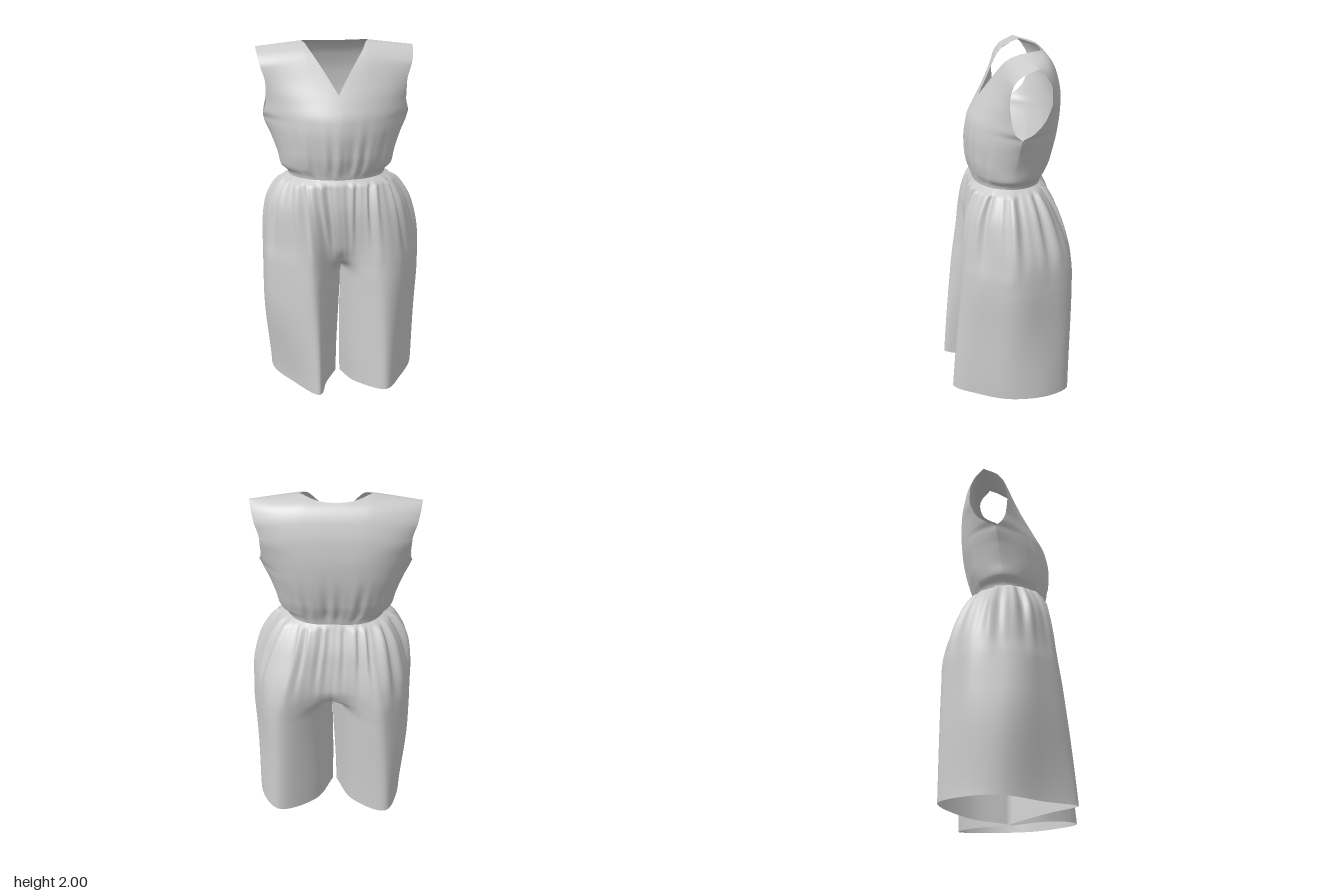
import * as THREE from 'three';
import { mergeGeometries, mergeVertices } from 'three/addons/utils/BufferGeometryUtils.js';

const { clamp, lerp, smoothstep } = THREE.MathUtils;

// Smooth monotone interpolation through [position, value] keys
function track(keys) {
  const n = keys.length;
  const slope = i => (keys[i + 1][1] - keys[i][1]) / (keys[i + 1][0] - keys[i][0]);
  const tangent = keys.map((_, i) => {
    if (i === 0) return slope(0);
    if (i === n - 1) return slope(n - 2);
    const a = slope(i - 1), b = slope(i);
    return a * b <= 0 ? 0 : (2 * a * b) / (a + b);
  });
  return x => {
    x = clamp(x, keys[0][0], keys[n - 1][0]);
    let i = 0;
    while (i < n - 2 && x > keys[i + 1][0]) i++;
    const d = keys[i + 1][0] - keys[i][0], t = (x - keys[i][0]) / d, u = 1 - t;
    return u * u * (1 + 2 * t) * keys[i][1] + t * t * (3 - 2 * t) * keys[i + 1][1]
      + d * t * u * (u * tangent[i] - t * tangent[i + 1]);
  };
}

// Grid of points; point(u, v) returns [x, y, z]
function sheet(cols, rows, point, flip) {
  const pos = [], index = [];
  for (let j = 0; j <= rows; j++)
    for (let i = 0; i <= cols; i++) pos.push(...point(i / cols, j / rows));
  for (let j = 0; j < rows; j++)
    for (let i = 0; i < cols; i++) {
      const a = j * (cols + 1) + i, b = a + 1, c = a + cols + 1, d = c + 1;
      index.push(...(flip ? [a, c, b, b, c, d] : [a, b, c, b, d, c]));
    }
  const g = new THREE.BufferGeometry();
  g.setAttribute('position', new THREE.Float32BufferAttribute(pos, 3));
  g.setIndex(index);
  return g;
}

function cloth(name, sheets) {
  const g = mergeVertices(mergeGeometries(sheets), 1e-4);
  g.computeVertexNormals();
  const mesh = new THREE.Mesh(g, new THREE.MeshStandardMaterial({
    color: 0xcccccc, roughness: 0.9, side: THREE.DoubleSide }));
  mesh.name = name;
  return mesh;
}

// Irregular gathers made of a few waves
const gathers = (a, seed) =>
  0.5 * Math.sin(a * 23 + seed) + 0.35 * Math.sin(a * 37 + seed * 2.3) + 0.3 * Math.sin(a * 11 + seed * 1.7);

// The upper body hangs slightly to one side
const lean = -0.019;

// Bodice: half width of the body and of its outer edge, then depths by height
const bodyWidth = track([[1.27, 0.268], [1.3, 0.275], [1.335, 0.31], [1.45, 0.345], [1.6, 0.385], [1.8, 0.392], [2, 0.434]]);
const edgeWidth = track([[1.27, 0.268], [1.3, 0.275], [1.335, 0.312], [1.4, 0.327], [1.5, 0.362],
  [1.61, 0.402], [1.7, 0.384], [1.8, 0.386], [1.9, 0.41], [2, 0.434]]);
const seam = track([[1.27, -0.01], [1.6, -0.045]]);
const panels = {
  front: {
    centre: track([[1.27, 0.178], [1.32, 0.188], [1.42, 0.21], [1.52, 0.216], [1.61, 0.204], [1.7, 0.16],
      [1.8, 0.1], [1.9, 0.042], [1.95, 0.006], [1.98, -0.04], [2, -0.115]]),
    base: track([[1.27, -0.01], [1.55, -0.01], [1.75, 0.015], [1.9, 0.005], [1.96, -0.035], [2, -0.115]]),
    armhole: track([[1.6, -0.045], [1.63, -0.01], [1.7, 0.01], [1.8, 0.018], [1.9, 0.005], [1.96, -0.035], [2, -0.115]]),
    neck: s => 1.74 + 0.26 * Math.min(1, s / 0.4),
    power: 1.9, seed: 1.3 },
  back: {
    centre: track([[1.27, -0.193], [1.32, -0.205], [1.42, -0.245], [1.6, -0.285], [1.7, -0.292],
      [1.8, -0.285], [1.9, -0.26], [1.95, -0.235], [1.985, -0.195], [2, -0.115]]),
    base: track([[1.27, -0.01], [1.5, -0.07], [1.7, -0.16], [1.8, -0.2], [1.88, -0.195], [1.95, -0.165], [2, -0.115]]),
    armhole: track([[1.6, -0.045], [1.63, -0.105], [1.7, -0.17], [1.8, -0.2], [1.88, -0.195], [1.95, -0.165], [2, -0.115]]),
    neck: s => 1.985 + 0.015 * Math.min(1, s / 0.4) ** 2,
    power: 3, seed: 4.1 },
};

function bodicePanel({ centre, base, armhole, neck, power, seed }, flip) {
  return sheet(80, 72, (u, v) => {
    const s = Math.sin((u - 0.5) * Math.PI), a = Math.min(1, Math.abs(s));
    const h = 1.27 + v * (neck(a) - 1.27);
    // the armhole shape only pulls on the cloth close to it
    const pull = a ** 6;
    const edge = lerp(base(h), h <= 1.6 ? seam(h) : armhole(h), pull);
    const round = Math.max(0, 1 - a ** power) ** (0.55 + 0.4 * smoothstep(h, 1.3, 1.72));
    const amp = 0.011 * smoothstep(h, 1.28, 1.36) * (1 - smoothstep(h, 1.36, 1.65));
    const fold = amp * gathers(s, seed) * (1 - a * a);
    const droop = 0.03 * Math.max(0, (a - 0.4) / 0.6) * smoothstep(h, 1.7, 2);
    const x = s * lerp(bodyWidth(h), edgeWidth(h), pull) + lean;
    return [x, h - droop, edge + (centre(h) - edge) * round + fold];
  }, flip);
}

// Trousers: half sections [x, z] from centre front, round the outside, to centre back
const sections = [
  [0, [[0.012, -0.01], [0.085, 0.19], [0.2, 0.34], [0.312, 0.195], [0.42, 0], [0.407, -0.215], [0.322, -0.337], [0.11, -0.21], [0.012, -0.01]]],
  [0.7, [[0, -0.01], [0.075, 0.175], [0.2, 0.283], [0.363, 0.175], [0.45, 0.01], [0.418, -0.195], [0.29, -0.347], [0.11, -0.24], [0, -0.01]]],
  [0.8, [[0, 0.15], [0.075, 0.19], [0.2, 0.272], [0.362, 0.17], [0.448, 0.01], [0.416, -0.195], [0.285, -0.347], [0.12, -0.285], [0, -0.24]]],
  [0.9, [[0, 0.2], [0.08, 0.205], [0.2, 0.262], [0.35, 0.162], [0.442, 0], [0.41, -0.19], [0.272, -0.338], [0.12, -0.3], [0, -0.285]]],
  [1.1, [[0, 0.222], [0.09, 0.222], [0.2, 0.235], [0.33, 0.145], [0.405, 0], [0.365, -0.16], [0.23, -0.28], [0.11, -0.272], [0, -0.265]]],
  [1.25, [[0, 0.2], [0.1, 0.2], [0.2, 0.18], [0.285, 0.1], [0.325, 0], [0.29, -0.12], [0.2, -0.195], [0.1, -0.213], [0, -0.21]]],
  [1.285, [[0, 0.18], [0.1, 0.17], [0.18, 0.135], [0.24, 0.08], [0.268, -0.01], [0.24, -0.095], [0.18, -0.15], [0.1, -0.182], [0, -0.195]]],
];
const outline = sections[0][1].map((_, k) =>
  [0, 1].map(c => track(sections.map(([y, pts]) => [y, pts[k][c]]))));
// Sideways flare of the outer outline points at the hem, opposite on the two legs
const flare = { 3: 0.042, 4: 0.028, 5: 0.028, 6: 0.012 };

function trouserSide(side) {
  const seed = side > 0 ? 2 : 5.2;
  const curveAt = y => {
    const low = 1 - smoothstep(y, 0.1, 1.15);
    const nearHem = 1 - smoothstep(y, 0, 0.6);
    return new THREE.CatmullRomCurve3(outline.map(([fx, fz], k) => {
      let x = fx(y) + nearHem * side * (flare[k] ?? 0), z = fz(y);
      // the two front pleats fall at different places
      if (k === 2) { x += low * (side > 0 ? 0.048 : -0.065); z += low * (side > 0 ? -0.008 : 0.018); }
      return new THREE.Vector3(x, 0, z);
    }));
  };
  const curves = new Map();
  return sheet(96, 96, (t, v) => {
    const y = 1.285 * (1 - v ** 1.35);
    if (!curves.has(v)) curves.set(v, curveAt(y));
    const p = curves.get(v).getPoint(t);
    // waist gathers, fading into long soft folds
    const ends = Math.min(1, 4 * Math.sin(Math.PI * t));
    const amp = smoothstep(y, 0.75, 1.22) * (1 - smoothstep(y, 1.24, 1.282));
    const soft = 0.014 * smoothstep(y, 0.05, 0.8) * (1 - smoothstep(y, 0.9, 1.25));
    const k = 1 + ends * (0.055 * amp * gathers(t * 3.2, seed) + soft * Math.sin(t * 34 + seed + y));
    // hem rises outwards, and across the front
    const across = p.x / 0.42;
    const hem = (0.06 * across + 0.055 * Math.max(0, p.z / 0.36) * (1 - across)) * (1 - smoothstep(y, 0, 0.6));
    const shift = lean * smoothstep(y, 0.85, 1.25) - 0.015 * (1 - smoothstep(y, 0.1, 0.75));
    return [side * p.x * k + shift, y + hem, p.z * k];
  }, side < 0);
}

export function createModel() {
  const model = new THREE.Group();
  model.name = 'jumpsuit';
  model.add(
    cloth('bodice', [bodicePanel(panels.front, false), bodicePanel(panels.back, true)]),
    cloth('trousers', [trouserSide(1), trouserSide(-1)]),
  );
  return model;
}
